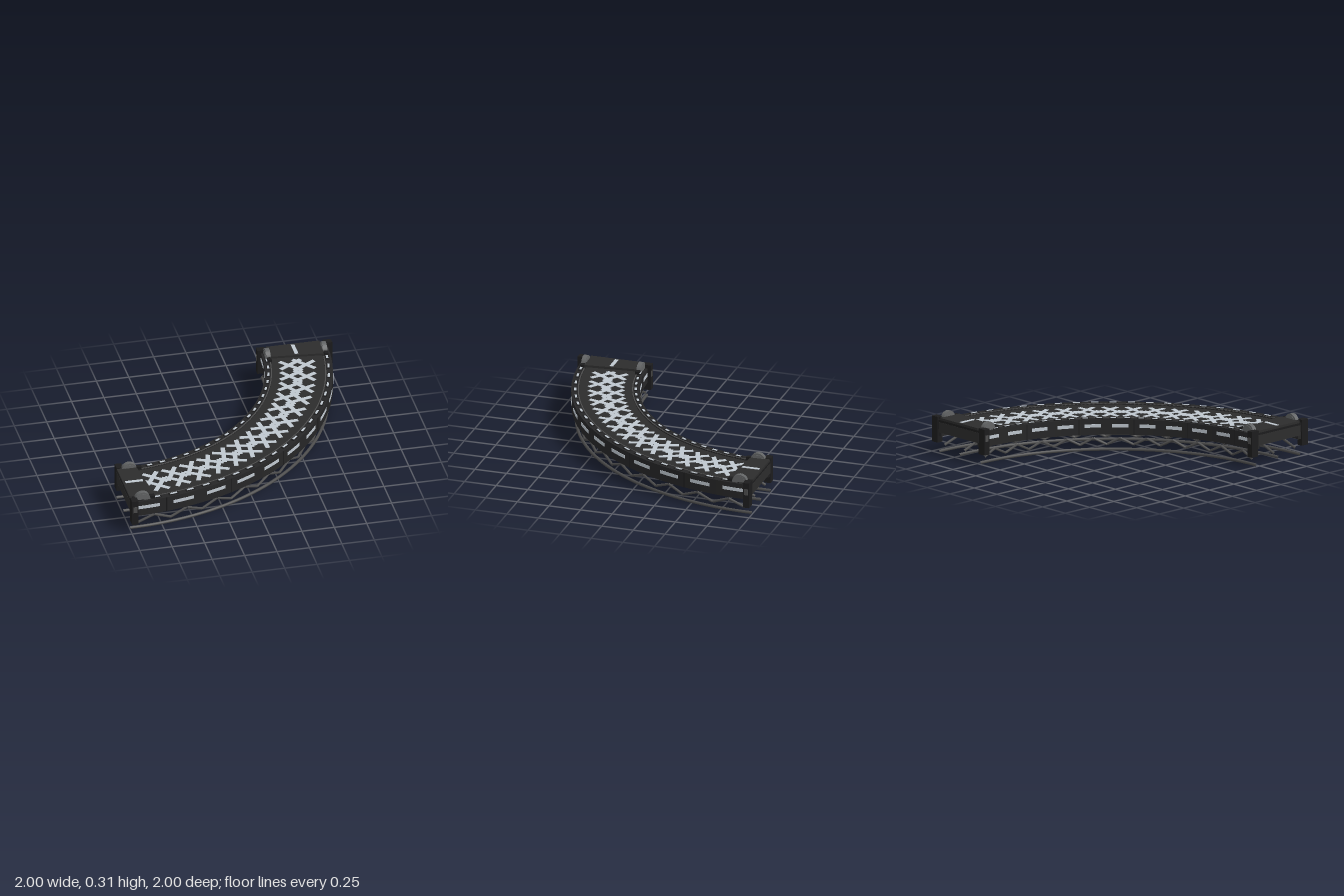
import * as THREE from 'three';

const END = Math.PI / 2, MID = 1.70;
const mat = (name, color) => {
  const m = new THREE.MeshStandardMaterial({ color });
  m.name = name;
  return m;
};

export function createModel() {
  const M = {
    deck: mat('deck charcoal', 0x2c2c2c),
    wall: mat('wall charcoal', 0x262627),
    frame: mat('frame black', 0x1c1c1d),
    pipe: mat('pipe grey', 0x4c4c4c),
    knob: mat('knob grey', 0x626465),
    paint: mat('pale paint', 0xbfc7cf),
  };
  const model = new THREE.Group();
  model.name = 'curvedConveyor';
  // Everything turns about the centre of the bend
  const bend = new THREE.Group();
  bend.name = 'bend';
  bend.position.set(-1, 0, -1);
  model.add(bend);

  const add = (parent, name, geo, material, x = 0, y = 0, z = 0) => {
    const m = new THREE.Mesh(geo, material);
    m.name = name;
    m.position.set(x, y, z);
    parent.add(m);
    return m;
  };
  const box = (parent, name, w, h, d, material, x, y, z) =>
    add(parent, name, new THREE.BoxGeometry(w, h, d), material, x, y, z);

  // Solid slice of a ring; angle 0 faces +z and grows towards +x
  const arc = (name, r0, r1, y0, y1, a0, a1, material) => {
    const s = new THREE.Shape();
    s.absarc(0, 0, r1, END - a1, END - a0, false);
    s.absarc(0, 0, r0, END - a0, END - a1, true);
    const geo = new THREE.ExtrudeGeometry(s, {
      depth: y1 - y0, bevelEnabled: false,
      curveSegments: Math.max(2, Math.ceil((a1 - a0) * 32)),
    });
    geo.rotateX(Math.PI / 2);
    return add(bend, name, geo, material, 0, y1, 0);
  };
  const onArc = (r, a, y) => new THREE.Vector3(r * Math.sin(a), y, r * Math.cos(a));

  // Running deck and side walls
  arc('deck', 1.49, 1.92, 0.16, 0.24, 0, END, M.deck);
  arc('innerWall', 1.45, 1.505, 0.13, 0.25, 0.005, END - 0.005, M.wall);
  arc('outerWall', 1.905, 1.963, 0.13, 0.25, 0.005, END - 0.005, M.wall);
  arc('innerSeam', 1.497, 1.505, 0.245, 0.252, 0.1, END - 0.1, M.pipe);
  arc('outerSeam', 1.905, 1.913, 0.245, 0.252, 0.1, END - 0.1, M.pipe);

  // Painted dashes and panel joints on the walls
  const PANELS = 11, step = END / PANELS;
  for (let i = 0; i < PANELS; i++) {
    const a = (i + 0.5) * step;
    arc('outerDash', 1.96, 1.966, 0.187, 0.213, a - 0.043, a + 0.043, M.paint);
    arc('innerDash', 1.447, 1.453, 0.187, 0.213, a - 0.043, a + 0.043, M.paint);
    if (i % 2) {
      const j = i * step;
      arc('outerJoint', 1.96, 1.965, 0.13, 0.25, j - 0.002, j + 0.002, M.frame);
      arc('innerJoint', 1.448, 1.453, 0.13, 0.25, j - 0.002, j + 0.002, M.frame);
    }
  }
  // Small lights along the wall tops
  for (let i = 0; i < PANELS * 2; i++) {
    const a = (i + 0.5) * step / 2;
    for (const r of [1.478, 1.932]) {
      arc('topPad', r - 0.014, r + 0.014, 0.248, 0.254, a - 0.02, a + 0.02, M.frame);
      arc('topDash', r - 0.008, r + 0.008, 0.252, 0.257, a - 0.014, a + 0.014, M.paint);
    }
  }

  // Crossed lattice marks on the deck
  const MARKS = 14;
  const slope = Math.atan2(0.065, 0.055);
  for (let i = 0; i < MARKS; i++) {
    const a = 0.153 + (END - 0.306) * i / (MARKS - 1);
    const mark = new THREE.Group();
    mark.name = 'deckMark';
    mark.rotation.y = a;
    bend.add(mark);
    for (const side of [-1, 1]) for (const dir of [-1, 1]) {
      const strip = box(mark, 'markStrip', 0.21, 0.003, 0.034, M.paint,
        dir * 0.0125, 0.2415, MID + side * 0.05);
      strip.rotation.y = side * dir * slope;
    }
  }

  // End stations: raised plate, posts, crossbeam and knobs
  for (const [turn, s] of [[0, 1], [END, -1]]) {
    const a0 = turn ? END - 0.1 : 0;
    arc('endPlate', 1.495, 1.91, 0.258, 0.275, a0, a0 + 0.1, M.deck);
    const end = new THREE.Group();
    end.name = 'endStation';
    end.rotation.y = turn;
    bend.add(end);
    box(end, 'plateDash', 0.135, 0.004, 0.028, M.paint, s * 0.085, 0.276, MID);
    box(end, 'crossbeam', 0.04, 0.07, 0.46, M.frame, s * 0.022, 0.222, MID);
    for (const r of [1.453, 1.967]) {
      box(end, 'post', 0.05, 0.2, 0.064, M.frame, s * 0.025, 0.177, r);
      box(end, 'postBand', 0.03, 0.05, 0.068, M.pipe, s * 0.025, 0.205, r);
    }
    for (const r of [1.485, 1.922]) {
      box(end, 'knobBase', 0.17, 0.024, 0.03, M.frame, s * 0.105, 0.261, r);
      const disc = new THREE.CylinderGeometry(0.06, 0.06, 0.034, 20).rotateX(END);
      add(end, 'knob', disc, M.knob, s * 0.095, 0.253, r);
      const face = new THREE.CylinderGeometry(0.043, 0.043, 0.04, 20).rotateX(END);
      add(end, 'knobFace', face, M.knob, s * 0.095, 0.257, r);
    }
  }

  // Lower pipes with zigzag bracing
  const tube = (name, points, closedCurve, segs, radius) => {
    const path = closedCurve ? new THREE.CatmullRomCurve3(points) : null;
    if (path) return add(bend, name, new THREE.TubeGeometry(path, segs, radius, 8), M.pipe);
    for (let i = 1; i < points.length; i++) {
      const line = new THREE.LineCurve3(points[i - 1], points[i]);
      add(bend, name, new THREE.TubeGeometry(line, 1, radius, 6), M.pipe);
    }
  };
  for (const [r, y] of [[1.47, 0.012], [MID, 0.03], [1.925, 0.012]]) {
    const rail = [], zig = [];
    for (let i = 0; i <= 24; i++) rail.push(onArc(r, END * i / 24, y));
    tube('lowerPipe', rail, true, 64, 0.012);
    for (let i = 0; i <= PANELS * 2; i++) {
      zig.push(onArc(r, 0.03 + (END - 0.06) * i / (PANELS * 2), i % 2 ? 0.1 : 0.05));
    }
    tube('zigzagBrace', zig, false, 1, 0.01);
  }
  return model;
}
